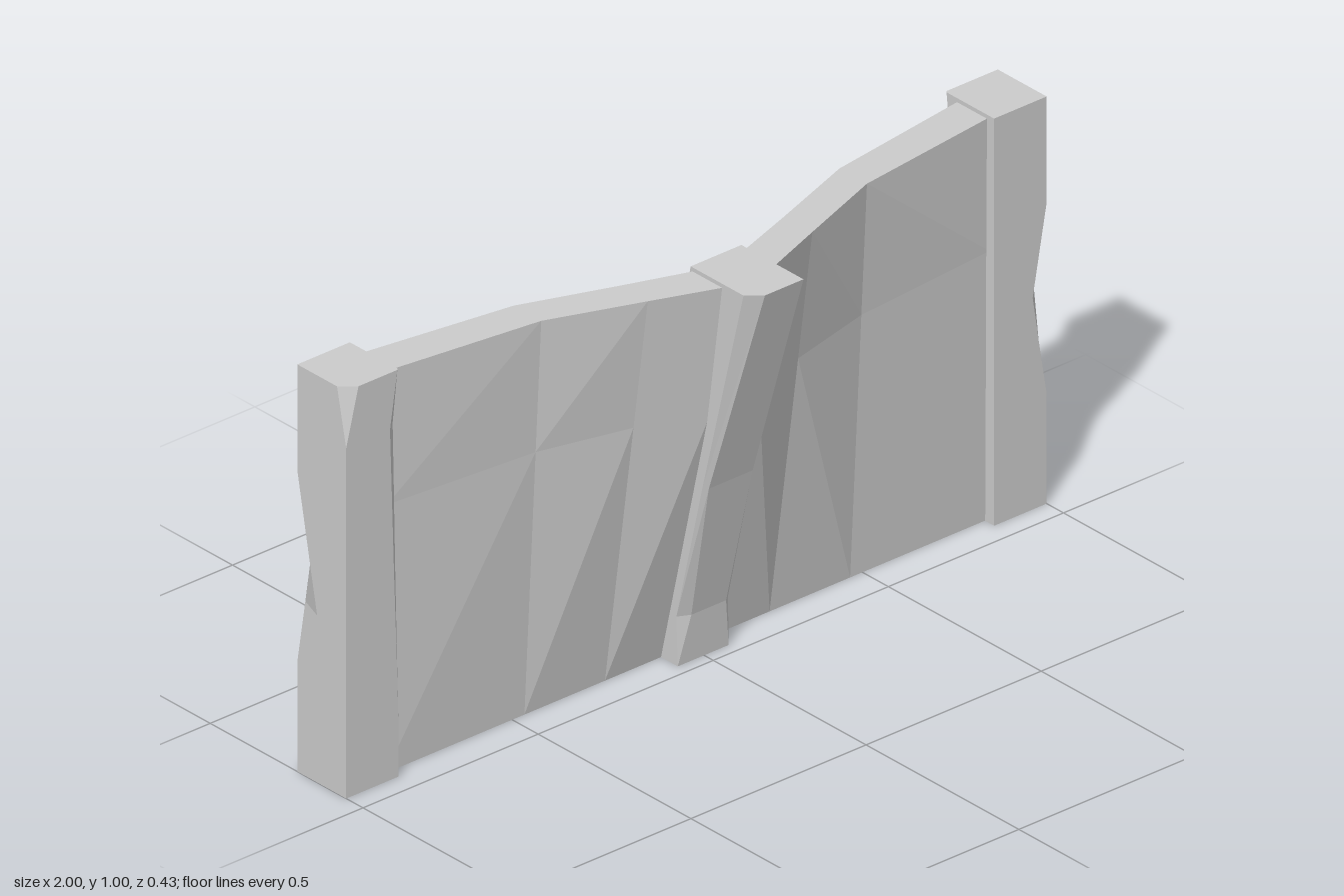
import * as THREE from 'three';

const material = new THREE.MeshStandardMaterial({ color: 0xcccccc, flatShading: true });

// Skin a series of equal-length rings, listed counterclockwise about the loft direction
function loft(name, rings, flip = () => false) {
  const pos = [];
  const tri = (a, b, c) => {
    const area = new THREE.Triangle(a, b, c).getArea();
    if (area > 1e-8) for (const p of [a, b, c]) pos.push(p.x, p.y, p.z);
  };
  const n = rings[0].length;
  for (let r = 0; r < rings.length - 1; r++) {
    const a = rings[r], b = rings[r + 1];
    for (let i = 0; i < n; i++) {
      const j = (i + 1) % n;
      if (flip(r)) {
        tri(a[i], a[j], b[i]);
        tri(a[j], b[j], b[i]);
      } else {
        tri(a[i], a[j], b[j]);
        tri(a[i], b[j], b[i]);
      }
    }
  }
  // End caps
  const first = rings[0], last = rings[rings.length - 1];
  for (let i = 1; i < n - 1; i++) {
    tri(first[0], first[i + 1], first[i]);
    tri(last[0], last[i], last[i + 1]);
  }
  const geometry = new THREE.BufferGeometry();
  geometry.setAttribute('position', new THREE.Float32BufferAttribute(pos, 3));
  geometry.computeVertexNormals();
  const mesh = new THREE.Mesh(geometry, material);
  mesh.name = name;
  return mesh;
}

// Rectangular post section; each corner may be chipped by [dx, dz]
function section(y, x0, x1, back, front, chips = {}) {
  const corners = [['fl', x0, front, 1, -1], ['fr', x1, front, -1, -1],
    ['br', x1, back, -1, 1], ['bl', x0, back, 1, 1]];
  return corners.flatMap(([key, x, z, sx, sz], i) => {
    const [dx, dz] = chips[key] ?? [0, 0];
    const onSide = new THREE.Vector3(x, y, z + sz * dz);
    const onFace = new THREE.Vector3(x + sx * dx, y, z);
    return i % 2 ? [onFace, onSide] : [onSide, onFace];
  });
}

// End post: a notch in one outer corner and a worn inner edge
function endPost(name, topChip) {
  const levels = [
    [0, {}],
    [0.1, {}],
    [0.27, { bl: [0, 0], fr: [0.005, 0.005] }],
    [0.41, { bl: [0.023, 0.065], fr: [0.01, 0.009] }],
    [0.52, { bl: [0.04, 0.043], fr: [0.014, 0.012] }],
    [0.74, { bl: [0, 0], fr: [0.021, 0.017] }],
    [0.86, { fr: [0.025, 0.02] }],
    [1, { fr: [0.004, 0.004], fl: topChip }],
  ];
  return loft(name, levels.map(([y, chips]) => section(y, -0.075, 0.075, -0.08, 0.08, chips)));
}

export function createModel() {
  const group = new THREE.Group();
  group.name = 'bulgingWall';

  // Wall panel: straight at the foot, pushed forward at the top centre
  // [x, top front z, top back z, outward swell at two thirds height]
  const half = [
    [0.07, 0.117, 0.02, 0.021],
    [0.235, 0.055, -0.037, 0],
    [0.465, -0.03, -0.12, 0],
    [0.86, -0.08, -0.178, 0],
  ];
  const columns = [...half.map(([x, ...rest]) => [-x, ...rest]).reverse(), ...half];
  const foot = { front: -0.085, back: -0.185 }, top = 0.99, mid = 0.66;
  const rings = columns.map(([x, front, back, swell]) => [
    new THREE.Vector3(x, top, back),
    new THREE.Vector3(x, top, front),
    new THREE.Vector3(x, mid, THREE.MathUtils.lerp(foot.front, front, mid / top) + swell),
    new THREE.Vector3(x, 0, foot.front),
    new THREE.Vector3(x, 0, foot.back),
  ]);
  group.add(loft('wallPanel', rings, (r) => r < half.length));

  // End posts, the same shape turned half round
  const leftPost = endPost('leftEndPost', [0, 0]);
  leftPost.position.set(0.925, 0, -0.135);
  leftPost.rotation.y = Math.PI;
  const rightPost = endPost('rightEndPost', [0.035, 0.03]);
  rightPost.position.set(-0.925, 0, -0.135);
  group.add(leftPost, rightPost);

  // Centre post leaning forward with the wall
  const lean = [
    [0, -0.2, -0.03, {}],
    [0.12, -0.172, -0.02, { fl: [0.03, 0.015], fr: [0.016, 0.012], br: [0.02, 0.008] }],
    [0.47, -0.1, 0.06, { fl: [0.01, 0.01], fr: [0.01, 0.01] }],
    [1, 0.012, 0.215, { fl: [0.035, 0.03] }],
  ];
  group.add(loft('centrePost', lean.map(([y, back, front, chips]) =>
    section(y, -0.075, 0.07, back, front, chips))));

  return group;
}
